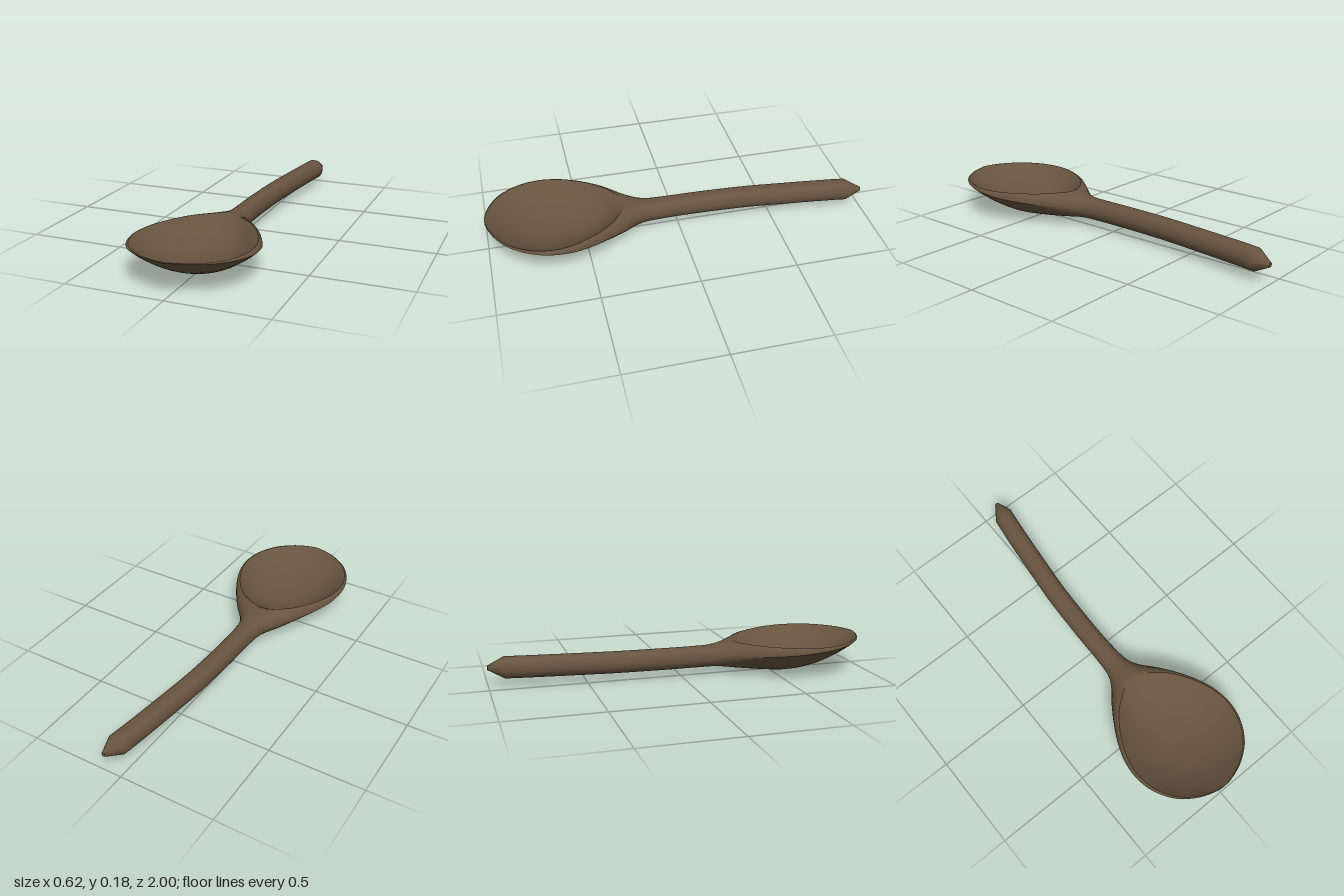
import * as THREE from 'three';
import { toCreasedNormals } from 'three/addons/utils/BufferGeometryUtils.js';

// Profiles along the spoon's length: [z, value] pairs, from handle to bowl front
const halfWidth = [[-1, 0.053], [0, 0.053], [0.1, 0.056], [0.17, 0.063], [0.21, 0.077], [0.25, 0.103], [0.3, 0.145], [0.4, 0.213],
  [0.5, 0.267], [0.6, 0.302], [0.68, 0.311], [0.75, 0.303], [0.82, 0.278], [0.9, 0.224], [0.96, 0.143], [0.988, 0.075], [1, 0.025]];
const edgeY = [[-1, 0.097], [0.1, 0.097], [0.2, 0.102], [0.67, 0.15], [1, 0.179]];
const topY = [[-1, 0.153], [0.13, 0.153], [0.2, 0.16], [0.29, 0.174], [0.6, 0.172], [0.9, 0.176], [1, 0.182]];
const bottomY = [[-1, 0.04], [0.17, 0.04], [0.3, 0.026], [0.4, 0.013], [0.5, 0.003], [0.55, 0], [0.6, 0.002], [0.7, 0.018],
  [0.8, 0.053], [0.9, 0.105], [1, 0.176]];
const floorY = [[-1, 0.153], [0.13, 0.153], [0.2, 0.16], [0.28, 0.174], [0.31, 0.163], [0.36, 0.122], [0.45, 0.08], [0.55, 0.062],
  [0.65, 0.06], [0.8, 0.084], [0.9, 0.122], [0.97, 0.162], [1, 0.182]];
const rimHalf = [[-1, 0.01], [0.2, 0.014], [0.28, 0.035], [0.31, 0.075], [0.35, 0.13], [0.4, 0.18], [0.5, 0.245], [0.6, 0.285],
  [0.68, 0.297], [0.75, 0.29], [0.82, 0.266], [0.9, 0.212], [0.96, 0.13], [0.988, 0.062], [1, 0.015]];
const centreX = [[-1, 0.088], [-0.92, 0.073], [-0.6, 0.034], [-0.3, 0.006], [0, -0.003], [0.2, -0.002], [0.35, 0], [1, 0]];

// Smooth interpolation that never overshoots the given points
function sample(table, z) {
  let i = 0;
  while (i < table.length - 2 && z > table[i + 1][0]) i++;
  const slope = k => (table[k + 1][1] - table[k][1]) / (table[k + 1][0] - table[k][0]);
  const tangent = k => {
    if (k === 0) return slope(0);
    if (k === table.length - 1) return slope(k - 1);
    const a = slope(k - 1), b = slope(k);
    return a * b <= 0 ? 0 : 2 * a * b / (a + b);
  };
  const h = table[i + 1][0] - table[i][0], t = (z - table[i][0]) / h, t2 = t * t, t3 = t2 * t;
  return (2 * t3 - 3 * t2 + 1) * table[i][1] + (t3 - 2 * t2 + t) * h * tangent(i)
    + (3 * t2 - 2 * t3) * table[i + 1][1] + (t3 - t2) * h * tangent(i + 1);
}

// Closed outline at one z: flank, hollow, flank, then the underside
function section(z) {
  const w = sample(halfWidth, z), e = sample(edgeY, z), t = sample(topY, z), b = sample(bottomY, z);
  const d = Math.min(sample(floorY, z), t), r = Math.min(sample(rimHalf, z), w * 0.97);
  const taper = THREE.MathUtils.mapLinear(Math.max(-1, Math.min(z, -0.915)), -1, -0.915, 0.2, 1);
  const power = THREE.MathUtils.lerp(1, 2, THREE.MathUtils.smoothstep(z, 0.15, 0.45));
  const points = [], flank = 5, across = 16, under = 24;
  const flankPoint = (k, side) => {
    const a = k / flank * Math.PI / 2;
    points.push([side * (r + (w - r) * Math.cos(a)), e + (t - e) * Math.sin(a)]);
  };
  for (let k = 0; k < flank; k++) flankPoint(k, 1);
  for (let k = 0; k <= across; k++) {
    const u = 1 - 2 * k / across;
    points.push([r * u, t - (t - d) * (1 - Math.pow(Math.abs(u), 2.2))]);
  }
  for (let k = flank - 1; k >= 0; k--) flankPoint(k, -1);
  for (let k = 1; k < under; k++) {
    const a = k / under * Math.PI;
    points.push([-w * Math.cos(a), e - (e - b) * Math.pow(Math.sin(a), power)]);
  }
  const cx = sample(centreX, z);
  return points.map(([x, y]) => [cx + x * taper, 0.097 + (y - 0.097) * taper, z]);
}

// Skin a run of sections, closing the free end
function loft(zs, capFirst, capLast) {
  const rings = zs.map(section), n = rings[0].length, last = rings.length - 1;
  const positions = rings.flat(2), index = [];
  for (let i = 0; i < last; i++) {
    for (let j = 0; j < n; j++) {
      const a = i * n + j, b = i * n + (j + 1) % n;
      index.push(a, b, a + n, b, b + n, a + n);
    }
  }
  const cap = (i, flip) => {
    const centre = positions.length / 3;
    positions.push(...[0, 1, 2].map(c => rings[i].reduce((s, p) => s + p[c], 0) / n));
    for (let j = 0; j < n; j++) {
      const a = i * n + j, b = i * n + (j + 1) % n;
      index.push(centre, flip ? b : a, flip ? a : b);
    }
  };
  if (capFirst) cap(0, true);
  if (capLast) cap(last, false);
  const geometry = new THREE.BufferGeometry();
  geometry.setAttribute('position', new THREE.Float32BufferAttribute(positions, 3));
  geometry.setIndex(index);
  return toCreasedNormals(geometry, 0.6);
}

export function createModel() {
  const wood = new THREE.MeshStandardMaterial({ color: 0x67543f });
  wood.name = 'brown wood';
  const group = new THREE.Group();
  group.name = 'spoon';
  const add = (name, geometry) => {
    const mesh = new THREE.Mesh(geometry, wood);
    mesh.name = name;
    group.add(mesh);
  };

  // Curved round handle with a blunt pointed end
  const joint = 0.14, handleZ = [-1];
  for (let k = 0; k <= 20; k++) handleZ.push(THREE.MathUtils.lerp(-0.915, joint, k / 20));
  add('handle', loft(handleZ, true, false));

  // Hollow bowl flaring out of the handle, sections closer together at the front
  const bowlZ = [];
  for (let k = 0; k <= 44; k++) bowlZ.push(joint + (1 - joint) * Math.sin(k / 44 * Math.PI / 2));
  add('bowl', loft(bowlZ, false, true));
  return group;
}
